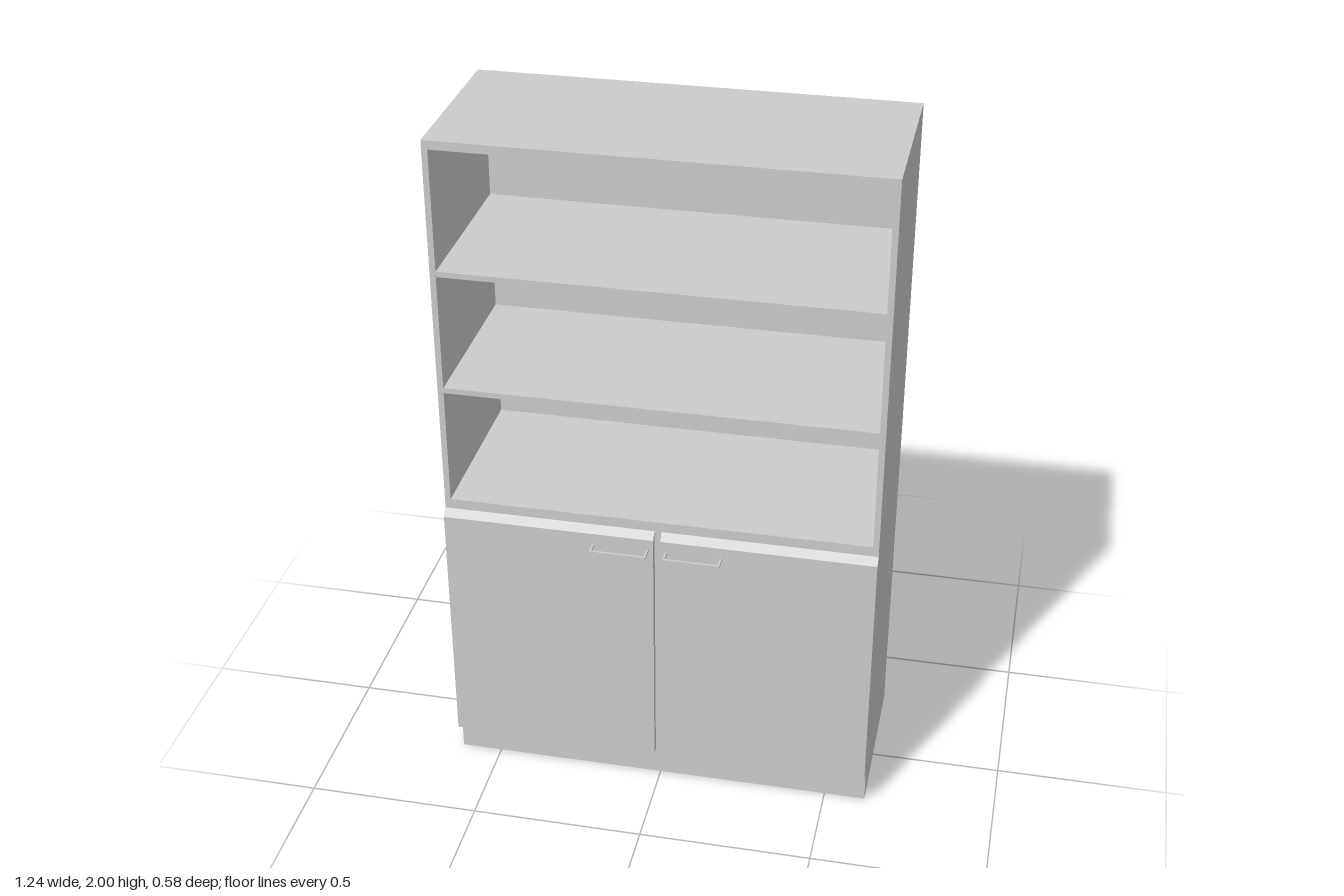
import * as THREE from 'three';

const material = new THREE.MeshStandardMaterial({ color: 0xcccccc, side: THREE.DoubleSide, flatShading: true });
const W = 0.62, BACK = -0.29, FRONT = 0.23, DOOR = 0.25, KICK = 0.21;
const GAP = 0.01;          // half the slot between the doors
const NX = 0.603, NY0 = 0.91, NY1 = 1.975; // shelf compartment

export function createModel() {
  const group = new THREE.Group();

  function add(name, geometry, x = 0, y = 0, z = 0) {
    const mesh = new THREE.Mesh(geometry, material);
    mesh.name = name;
    mesh.position.set(x, y, z);
    group.add(mesh);
    return mesh;
  }

  // Thin sheet: a [z, y] profile swept along x
  function sheet(name, profile, x0, x1) {
    const pos = [], index = [];
    for (let i = 0; i < profile.length - 1; i++) {
      const [z0, y0] = profile[i], [z1, y1] = profile[i + 1], b = i * 4;
      pos.push(x0, y0, z0, x1, y0, z0, x1, y1, z1, x0, y1, z1);
      index.push(b, b + 1, b + 2, b, b + 2, b + 3);
    }
    const g = new THREE.BufferGeometry();
    g.setAttribute('position', new THREE.Float32BufferAttribute(pos, 3));
    g.setIndex(index);
    g.computeVertexNormals();
    return add(name, g);
  }

  // Flat panel facing sideways, outlined by [z, y] points
  function sidePanel(name, points, x) {
    const shape = new THREE.Shape(points.map(([z, y]) => new THREE.Vector2(-z, y)));
    const g = new THREE.ShapeGeometry(shape);
    g.rotateY(Math.PI / 2);
    return add(name, g, x);
  }

  // Hollow carcass, open underneath
  sheet('back', [[BACK, 2], [BACK, 0]], -W, W);
  sheet('top', [[FRONT, 2], [BACK, 2]], -W, W);
  sheet('kickPlate', [[KICK, 0], [KICK, 0.1]], -W, W);

  // Front frame around the shelf compartment
  const frame = new THREE.Shape();
  frame.moveTo(-W, 0.88).lineTo(W, 0.88).lineTo(W, 2).lineTo(-W, 2).closePath();
  const hole = new THREE.Path();
  hole.moveTo(-NX, NY0).lineTo(-NX, NY1).lineTo(NX, NY1).lineTo(NX, NY0).closePath();
  frame.holes.push(hole);
  add('frontFrame', new THREE.ShapeGeometry(frame), 0, 0, FRONT);

  // Compartment lining and shelves
  sheet('compartmentFloor', [[FRONT, NY0], [BACK, NY0]], -NX, NX);
  sheet('compartmentCeiling', [[BACK, NY1], [FRONT, NY1]], -NX, NX);
  for (const y of [1.263, 1.618]) {
    add('shelf', new THREE.BoxGeometry(NX * 2, 0.016, FRONT - BACK - 0.002), 0, y, (FRONT + BACK) / 2);
  }

  // Slot between the doors
  sheet('doorSlot', [[KICK, 0.1], [FRONT, 0.1], [FRONT, 0.88]], -GAP, GAP);

  const doorEdge = [[FRONT, 0.1], [DOOR, 0.1], [DOOR, 0.86], [FRONT, 0.88]];
  const sideOutline = [[BACK, 0], [KICK, 0], [KICK, 0.1], [DOOR, 0.1], [DOOR, 0.86], [FRONT, 0.88], [FRONT, 2], [BACK, 2]];
  const lining = [[BACK, NY0], [FRONT, NY0], [FRONT, NY1], [BACK, NY1]];

  for (const s of [1, -1]) {
    const side = s > 0 ? 'left' : 'right';
    sidePanel(side + 'Side', sideOutline, s * W);
    sidePanel(side + 'CompartmentWall', lining, s * NX);

    // Door with its bevelled top and underside
    const [x0, x1] = s > 0 ? [GAP, W] : [-W, -GAP];
    sheet(side + 'Door', [[KICK, 0.1], ...doorEdge.slice(1)], x0, x1);
    sidePanel(side + 'DoorEdge', doorEdge, s * GAP);

    // Bar handle on two posts
    add(side + 'HandleBar', new THREE.BoxGeometry(0.162, 0.007, 0.007), s * 0.105, 0.824, 0.2865);
    for (const x of [0.027, 0.183]) {
      add(side + 'HandlePost', new THREE.BoxGeometry(0.006, 0.007, 0.034), s * x, 0.824, 0.267);
    }
  }
  return group;
}
